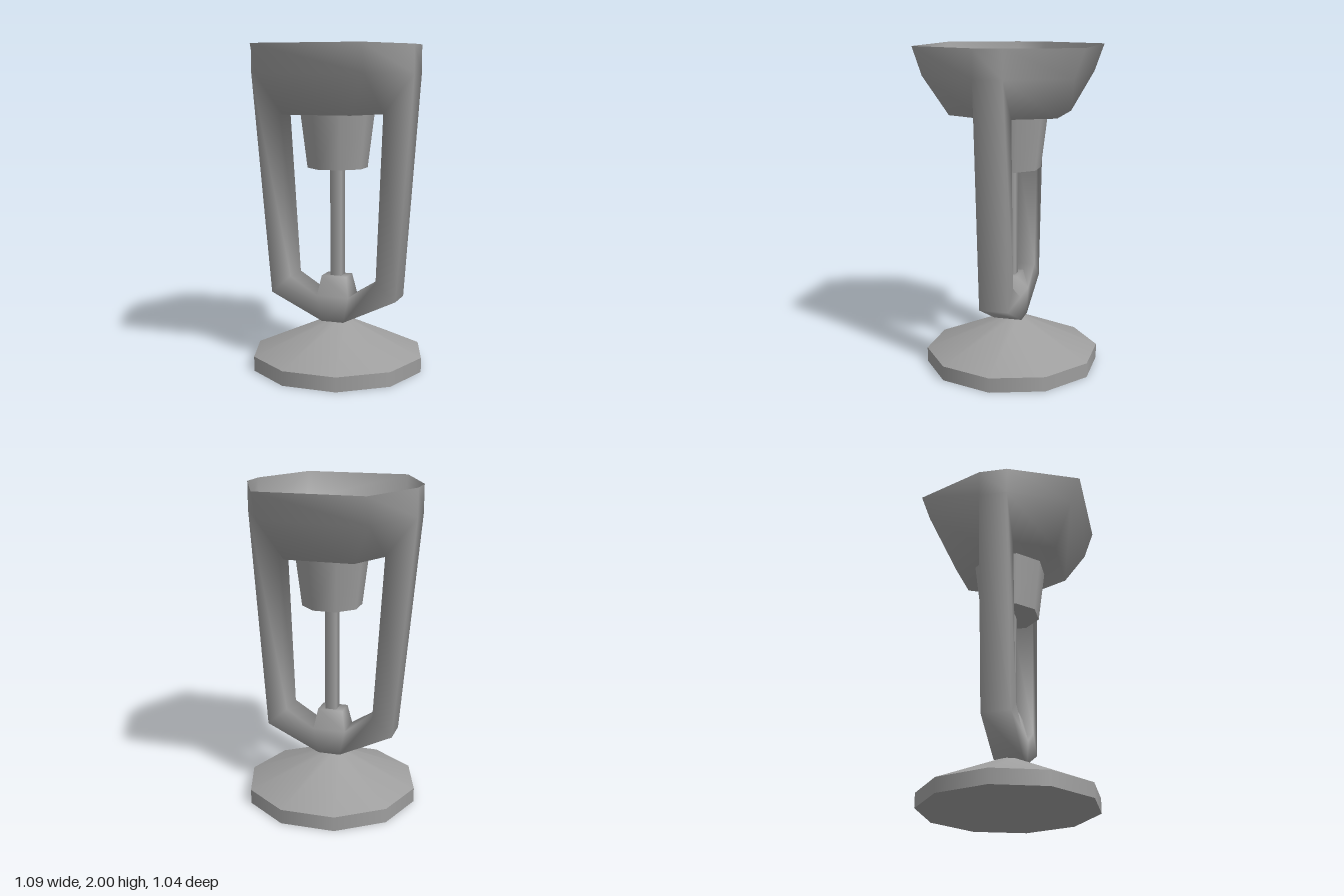
import * as THREE from 'three';
import { mergeGeometries, mergeVertices } from 'three/addons/utils/BufferGeometryUtils.js';

const material = new THREE.MeshStandardMaterial({ color: 0x9e9e9e, side: THREE.DoubleSide });
const HALF = 0.088; // half depth of the arms

function add(parent, name, geometry, x = 0, y = 0, z = 0) {
  const mesh = new THREE.Mesh(geometry, material);
  mesh.name = name;
  mesh.position.set(x, y, z);
  parent.add(mesh);
  return mesh;
}

// Shell through rings of equal point count; skip(k, i) leaves a quad out
function loft(rings, skip, caps = []) {
  const n = rings[0].length;
  const index = [];
  const quad = (a, b, c, d) => index.push(a, b, c, a, c, d);
  for (let k = 0; k < rings.length - 1; k++) {
    for (let i = 0; i < n; i++) {
      if (skip(k, i)) continue;
      const j = (i + 1) % n;
      quad(k * n + i, (k + 1) * n + i, (k + 1) * n + j, k * n + j);
    }
  }
  caps.forEach((c) => quad(...c));
  const geometry = new THREE.BufferGeometry();
  geometry.setAttribute('position', new THREE.Float32BufferAttribute(rings.flat(2), 3));
  geometry.setIndex(index);
  return geometry;
}

// Eight-cornered ring: short sides face +-x, long sides face +-z
function bowlRing(y, sideX, cornerX, cornerZ) {
  return [
    [sideX, y, -HALF], [sideX, y, HALF], [cornerX, y, cornerZ], [-cornerX, y, cornerZ],
    [-sideX, y, HALF], [-sideX, y, -HALF], [-cornerX, y, -cornerZ], [cornerX, y, -cornerZ],
  ];
}

// Bowl, arms and hub joined into one smoothly shaded shell
function bodyGeometry() {
  // Bowl, open on top and where the hollow arms join its sides
  const bowl = loft(
    [bowlRing(1.59, 0.333, 0.21, 0.33), bowlRing(1.83, 0.52, 0.33, 0.452), bowlRing(2, 0.52, 0.33, 0.512)],
    (k, i) => k === 0 && i % 4 === 0,
    [[1, 2, 3, 4], [0, 1, 4, 5], [5, 6, 7, 0]],
  );

  // U-shaped arms: outer and inner points from the bowl to the middle, then mirrored
  const half = [
    [0.52, 1.83, 0.333, 1.59],
    [0.407, 0.455, 0.28, 0.565],
    [0.07, 0.295, 0.103, 0.455],
  ];
  const mirrored = half.map(([ox, oy, ix, iy]) => [-ox, oy, -ix, iy]).reverse();
  const sections = [...half, ...mirrored].map(([ox, oy, ix, iy]) => [
    [ox, oy, HALF], [ox, oy, -HALF], [ix, iy, -HALF], [ix, iy, HALF],
  ]);
  const arms = loft(sections, (k, i) => k === 2 && i === 2);

  // Tapered hub rising from the middle of the arms
  const hubRing = (y, x, z) => [[x, y, -z], [x, y, z], [-x, y, z], [-x, y, -z]];
  const hub = loft([hubRing(0.455, 0.103, HALF), hubRing(0.58, 0.08, 0.06)], () => false, [[7, 6, 5, 4]]);

  const body = mergeVertices(mergeGeometries([bowl, arms, hub]));
  // The upper part sits slightly off centre
  const position = body.attributes.position;
  for (let i = 0; i < position.count; i++) {
    position.setX(i, position.getX(i) - (position.getY(i) > 1 ? 0.015 : 0.003));
  }
  body.computeVertexNormals();
  return body;
}

export function createModel() {
  const model = new THREE.Group();
  model.name = 'standingBowl';

  // Ten-sided foot: low rim and cone
  const foot = new THREE.Group();
  foot.name = 'foot';
  model.add(foot);
  add(foot, 'footRim', new THREE.CylinderGeometry(0.543, 0.543, 0.09, 10, 1, false, Math.PI / 2), 0, 0.045, -0.003);
  add(foot, 'footCone', new THREE.CylinderGeometry(0.08, 0.543, 0.205, 10, 1, true, Math.PI / 2), 0, 0.1925, -0.003);

  add(model, 'bowlAndArms', bodyGeometry(), 0, 0, 0.007);

  // Square stem and eight-sided socket under the bowl
  add(model, 'stem', new THREE.CylinderGeometry(0.051, 0.051, 0.69, 4, 1, true, Math.PI / 4), 0, 0.915, 0.004);
  add(model, 'socket', new THREE.CylinderGeometry(0.228, 0.186, 0.335, 8, 1, true, Math.PI / 8), 0, 1.4225, 0.004);
  const base = new THREE.CircleGeometry(0.186, 8, Math.PI / 8).rotateX(Math.PI / 2);
  add(model, 'socketBase', base, 0, 1.255, 0.004);

  return model;
}
